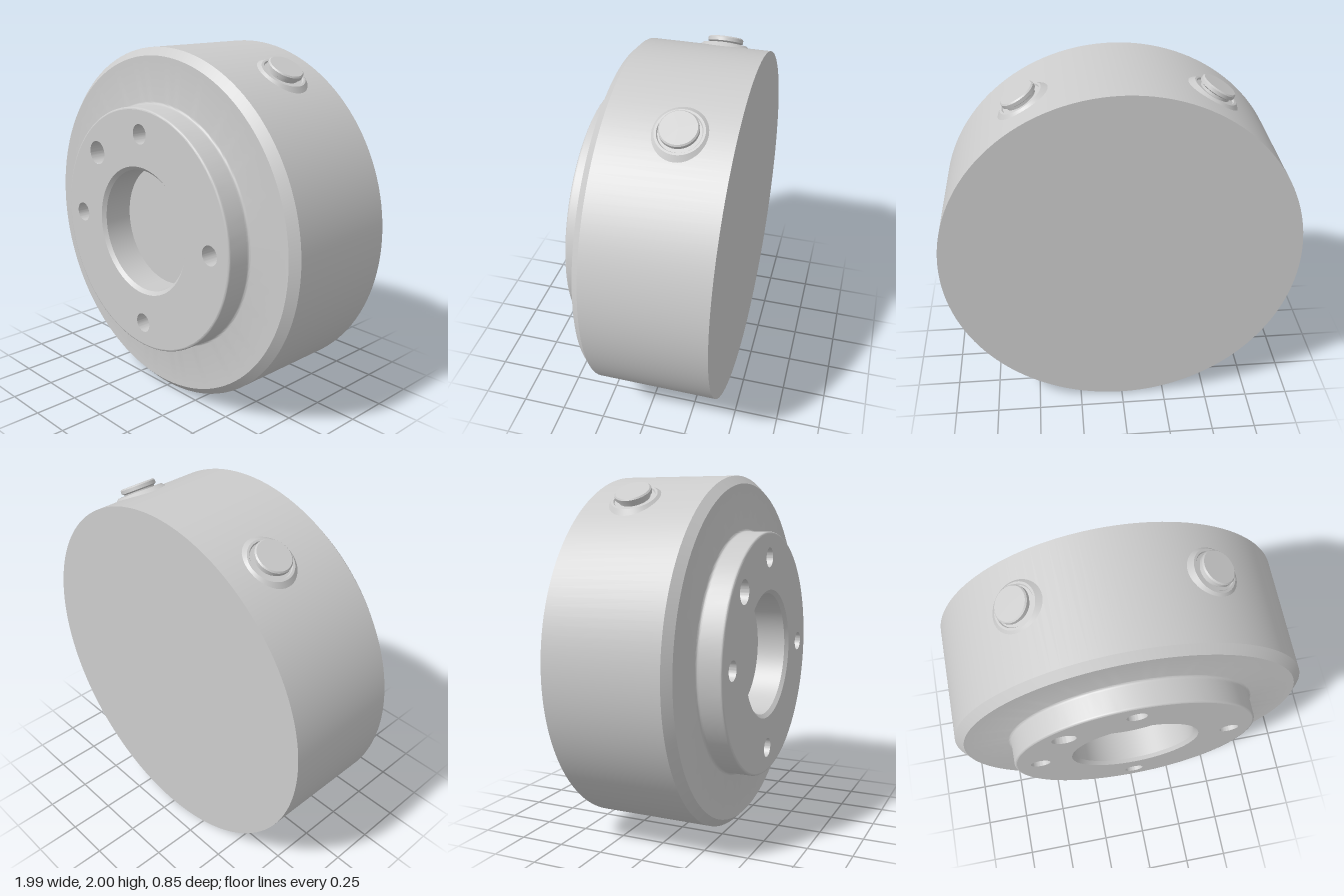
import * as THREE from 'three';
import { toCreasedNormals } from 'three/addons/utils/BufferGeometryUtils.js';

const R = 0.9925, CY = 1.0075, FRONT = 0.425, BACK = -0.425;
const SIDE_Z = -0.15; // line of the parts mounted on the rim

export function createModel() {
  const model = new THREE.Group();
  const material = new THREE.MeshStandardMaterial({ color: 0xcccccc });

  const add = (parent, name, geometry) => {
    const mesh = new THREE.Mesh(geometry, material);
    mesh.name = name;
    parent.add(mesh);
    return mesh;
  };
  const lathe = (points, segments) => toCreasedNormals(
    new THREE.LatheGeometry(points.map(([r, h]) => new THREE.Vector2(r, h)), segments), 0.5);

  const housing = new THREE.Group();
  housing.name = 'housing';
  housing.position.y = CY;
  model.add(housing);

  // Drum with chamfered front rim and raised, rounded boss
  const profile = [[0, BACK], [R, BACK], [R, 0.24], [R - 0.043, 0.283]];
  for (let i = 0; i <= 4; i++) { // concave fillet at the foot of the boss
    const a = i / 4 * Math.PI / 2;
    profile.push([0.703 - 0.015 * Math.sin(a), 0.298 - 0.015 * Math.cos(a)]);
  }
  for (let i = 0; i <= 4; i++) { // rounded front edge of the boss
    const a = i / 4 * Math.PI / 2;
    profile.push([0.676 + 0.012 * Math.cos(a), FRONT - 0.012 + 0.012 * Math.sin(a)]);
  }
  add(housing, 'drum', lathe(profile, 128).rotateX(Math.PI / 2));

  // Holes in the boss: four screw holes and one larger locating hole
  const holes = [0, 1, 2, 3].map(i => ({ a: i * Math.PI / 2, r: 0.055, name: 'screwHole' }));
  holes.push({ a: Math.PI * 0.75, r: 0.067, name: 'locatingHole' });

  const face = new THREE.Shape().absarc(0, 0, 0.676, 0, Math.PI * 2);
  face.holes.push(new THREE.Path().absarc(0, 0, 0.365, 0, Math.PI * 2, true));
  for (const { a, r, name } of holes) {
    const x = 0.546 * Math.cos(a), y = 0.546 * Math.sin(a);
    face.holes.push(new THREE.Path().absarc(x, y, r, 0, Math.PI * 2, true));
    const cup = lathe([[r, 0], [r, -0.2], [0, -0.2]], 64).rotateX(Math.PI / 2);
    add(housing, name, cup).position.set(x, y, FRONT);
  }
  add(housing, 'bossFace', new THREE.ShapeGeometry(face, 64)).position.z = FRONT;

  // Central blind bore with chamfered mouth
  add(housing, 'centralBore', lathe([[0.365, 0], [0.345, -0.02], [0.345, -0.19], [0, -0.19]], 128)
    .rotateX(Math.PI / 2)).position.z = FRONT;

  // Frame on the rim whose local +y points outward
  const rimMount = (name, angle) => {
    const mount = new THREE.Group();
    mount.name = name;
    mount.rotation.z = -angle;
    mount.position.z = SIDE_Z;
    housing.add(mount);
    return mount;
  };

  // Two push buttons, mirrored about the centre
  for (const side of [1, -1]) {
    const button = rimMount(side > 0 ? 'leftButton' : 'rightButton', side * Math.PI / 6);
    add(button, 'bezel', lathe([[0.155, 0.94], [0.155, 0.978], [0.125, 1.004], [0.113, 1.004],
      [0.108, 0.996], [0, 0.996]], 48));
    add(button, 'cap', lathe([[0.085, 0.99], [0.085, 1.01], [0.099, 1.017], [0.099, 1.036],
      [0.092, 1.043], [0, 1.043]], 48));
  }

  // Hex socket connector underneath
  const connector = rimMount('connector', Math.PI);
  add(connector, 'hexNut', toCreasedNormals(new THREE.CylinderGeometry(0.12, 0.12, 0.05, 6), 0.5))
    .position.y = R - 0.022;
  add(connector, 'barrel', lathe([[0.062, 0.98], [0.062, 1.004], [0.058, CY], [0.046, CY],
    [0.046, 0.996], [0, 0.996]], 40));
  for (let i = 0; i < 5; i++) {
    const a = i / 5 * Math.PI * 2;
    add(connector, 'pin', new THREE.CylinderGeometry(0.006, 0.006, 0.012, 12))
      .position.set(0.026 * Math.cos(a), 0.999, 0.026 * Math.sin(a));
  }

  return model;
}
